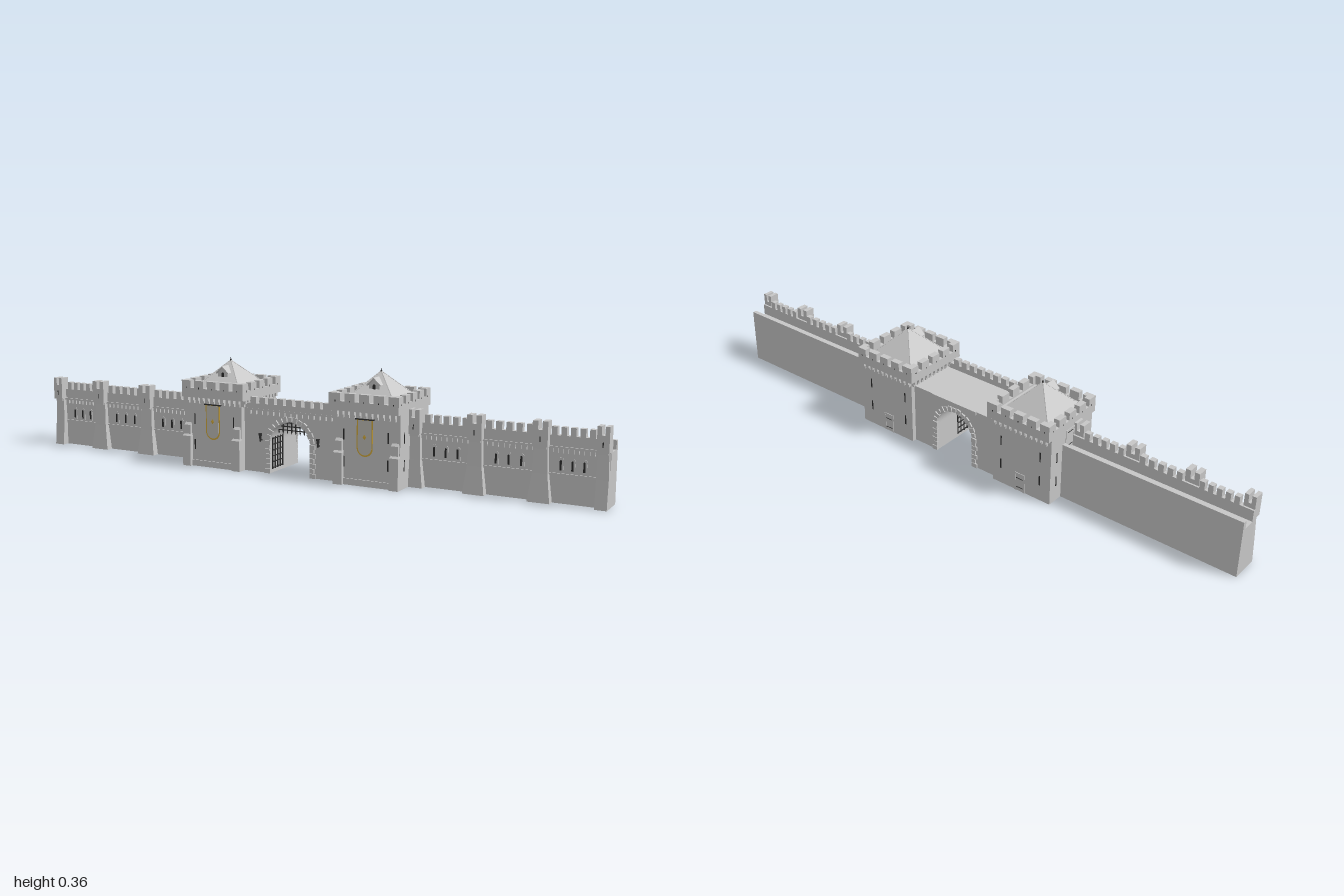
import * as THREE from 'three';
import { mergeGeometries } from 'three/addons/utils/BufferGeometryUtils.js';

const material = (name, color) =>
  Object.assign(new THREE.MeshStandardMaterial({ color, flatShading: true }), { name });

const stone = material('stone', 0xc6c6c6);
const roofStone = material('roof slate', 0xcacaca);
const black = material('dark opening', 0x2c2c2c);
const iron = material('iron', 0x343434);
const cloth = material('banner cloth', 0xbfbdb6);
const gold = material('gold trim', 0xd2aa3c);

// Merge pieces of one colour into a named part
function part(parent, name, mat, pieces) {
  const flat = pieces.map((g) => (g.index ? g.toNonIndexed() : g));
  const geometry = mergeGeometries(flat);
  geometry.computeVertexNormals();
  const mesh = new THREE.Mesh(geometry, mat);
  mesh.name = name;
  parent.add(mesh);
}

// Box given by its centre in x and z and its bottom in y
const box = (w, h, d, x, y, z) => new THREE.BoxGeometry(w, h, d).translate(x, y + h / 2, z);

// Box whose front slopes back and whose sides draw in towards the top
function taper(w0, w1, d0, d1, h, x, y, zBack) {
  const g = new THREE.BoxGeometry(1, h, 1).translate(0, h / 2, 0.5);
  const p = g.attributes.position;
  for (let i = 0; i < p.count; i++) {
    const top = p.getY(i) > h / 2;
    p.setXYZ(i, p.getX(i) * (top ? w1 : w0), p.getY(i), p.getZ(i) * (top ? d1 : d0));
  }
  return g.translate(x, y, zBack);
}

// Thin round-headed plate facing +z, standing at the origin
function archPlate(w, h, depth = 0.004) {
  const s = new THREE.Shape();
  s.moveTo(-w / 2, 0).lineTo(w / 2, 0).lineTo(w / 2, h - w / 2);
  s.absarc(0, h - w / 2, w / 2, 0, Math.PI, false);
  return new THREE.ExtrudeGeometry(s, { depth, bevelEnabled: false, curveSegments: 6 });
}

const extrude = (points, depth) =>
  new THREE.ExtrudeGeometry(new THREE.Shape(points.map(([x, y]) => new THREE.Vector2(x, y))), { depth, bevelEnabled: false });

function buildTower(side) {
  const tower = new THREE.Group();
  tower.name = side > 0 ? 'leftTower' : 'rightTower';
  tower.position.x = side * 0.275;
  // The outer face stands flush with its parapet
  part(tower, 'towerBody', stone, [box(0.22, 0.255, 0.21, side * 0.005, 0, 0)]);

  // Parapet with five merlons on each side, corbelled except on the outer face
  const outerTurn = side > 0 ? 1 : 3;
  const parapet = [], holes = [], corbels = [];
  for (let k = 0; k < 4; k++) {
    const turn = (g) => g.rotateY((k * Math.PI) / 2);
    const z = k === outerTurn ? 0.105 : 0.11;
    parapet.push(turn(box(k % 2 ? 0.24 : 0.228, 0.03, 0.02, 0, 0.231, z)));
    for (let i = -2; i <= 2; i++) {
      parapet.push(turn(box(0.034, 0.026, 0.02, i * (k % 2 ? 0.0515 : 0.049), 0.26, z)));
      holes.push(turn(box(0.002, 0.005, 0.002, i * 0.049, 0.259, z + 0.0097)));
    }
    if (k === outerTurn) continue;
    for (let i = -5; i <= 5; i++) {
      corbels.push(turn(box(0.01, 0.021, 0.012, i * 0.0195, 0.21, 0.107)));
      corbels.push(turn(box(0.01, 0.012, 0.016, i * 0.0195, 0.22, 0.111)));
    }
  }
  part(tower, 'parapet', stone, parapet);
  part(tower, 'parapetHoles', black, holes);
  part(tower, 'corbels', stone, corbels);

  // Stepped corner buttresses on the front
  part(tower, 'cornerButtresses', stone, [-0.09, 0.1].map((x) => x * side).flatMap((x) => [
    box(0.03, 0.1, 0.03, x, 0, 0.105),
    taper(0.03, 0.026, 0.03, 0.02, 0.008, x, 0.1, 0.09),
    box(0.024, 0.03, 0.02, x, 0.106, 0.103),
    taper(0.024, 0.022, 0.023, 0.015, 0.008, x, 0.136, 0.09),
  ]).concat(box(0.2, 0.02, 0.008, 0, 0, 0.105)));

  // Arrow slits on the front, back and outer faces
  const slits = [];
  for (const k of [0, outerTurn, 2]) for (const u of [-0.075, 0.075]) for (const y of [0.055, 0.14])
    slits.push(box(0.0045, 0.034, 0.003, u, y, k === outerTurn ? 0.1145 : 0.1045).rotateY(k * Math.PI / 2));
  part(tower, 'arrowSlits', black, slits);

  // Doors: ground door at the back, wall-walk door on the outer face
  const door = (w, h, y, u, z) => [
    box(0.005, h, 0.004, u - w / 2, y, z), box(0.005, h, 0.004, u + w / 2, y, z),
    box(w + 0.005, 0.005, 0.004, u, y + h, z), box(w, h, 0.002, u, y, z)];
  const outer = (g) => g.rotateY(side * Math.PI / 2);
  const back = (g) => g.rotateY(Math.PI);
  part(tower, 'doors', stone, [...door(0.034, 0.06, 0, 0, 0.105).map(back), ...door(0.04, 0.064, 0.163, side * 0.01, 0.115).map(outer)]);
  part(tower, 'doorStraps', iron, [0.012, 0.045].map((y) => back(box(0.026, 0.002, 0.003, 0, y, 0.1055)))
    .concat([0.175, 0.221].map((y) => outer(box(0.026, 0.002, 0.003, side * 0.01, y, 0.1155)))));

  // Banner hanging clear of the wall, with a narrow gold border
  part(tower, 'bannerBorder', gold, [archPlate(0.054, 0.116, 0.001).rotateY(Math.PI).rotateZ(Math.PI).translate(0, 0.21, 0.113)]);
  part(tower, 'bannerCloth', cloth, [archPlate(0.046, 0.108, 0.001).rotateY(Math.PI).rotateZ(Math.PI).translate(0, 0.207, 0.1137)]);
  part(tower, 'bannerEmblem', gold, [new THREE.OctahedronGeometry(0.006).scale(1, 1.4, 0.15).translate(0, 0.155, 0.1148)]);
  part(tower, 'bannerRod', iron, [box(0.064, 0.004, 0.003, 0, 0.208, 0.114),
    box(0.003, 0.003, 0.012, -0.029, 0.208, 0.108), box(0.003, 0.003, 0.012, 0.029, 0.208, 0.108)]);

  // Pyramid roof with hip ridges and finial
  const half = 0.09, rise = 0.09, base = 0.255;
  const hip = new THREE.LineCurve3(new THREE.Vector3(half, base, half), new THREE.Vector3(0, base + rise, 0));
  part(tower, 'roof', roofStone, [new THREE.ConeGeometry(half * Math.SQRT2, rise, 4).rotateY(Math.PI / 4).translate(0, base + rise / 2, 0),
    ...[0, 1, 2, 3].map((k) => new THREE.TubeGeometry(hip, 1, 0.0018, 4).rotateY((k * Math.PI) / 2))]);
  part(tower, 'finial', iron, [new THREE.ConeGeometry(0.003, 0.016, 6).translate(0, 0.348, 0), new THREE.SphereGeometry(0.0035, 6, 4).translate(0, 0.345, 0)]);

  // Gabled dormer on the front slope
  part(tower, 'dormer', stone, [extrude([[-0.018, 0.285], [0.018, 0.285], [0.018, 0.308], [0, 0.325], [-0.018, 0.308]], 0.035).translate(0, 0, 0.015)]);
  part(tower, 'dormerRoof', roofStone, [extrude([[-0.024, 0.304], [0, 0.3265], [0.024, 0.304], [0.024, 0.308], [0, 0.33], [-0.024, 0.308]], 0.04).translate(0, 0, 0.015)]);
  part(tower, 'dormerWindow', black, [archPlate(0.01, 0.016, 0.003).translate(0, 0.293, 0.0478)]);
  return tower;
}

function buildWall(side) {
  const wall = new THREE.Group();
  wall.name = side > 0 ? 'leftWall' : 'rightWall';
  const mid = side * 0.69, len = 0.62;
  // Core, back parapet, front parapet and string courses
  part(wall, 'wallBody', stone, [box(len, 0.163, 0.068, mid, 0, -0.014)]);
  part(wall, 'backParapet', stone, [box(len, 0.027, 0.014, mid, 0.163, -0.041)]);
  part(wall, 'frontParapet', stone, [box(len, 0.037, 0.018, mid, 0.163, 0.014)]);
  part(wall, 'stringCourses', stone, [box(len, 0.006, 0.012, mid, 0.162, 0.021), box(len, 0.004, 0.006, mid, 0.085, 0.021)]);

  // Buttresses flaring at the foot, each crowned by a small turret
  const posts = [[0.405, 0.04], [0.6, 0.046], [0.8, 0.046], [0.982, 0.036]];
  const buttress = [], merlons = [], corbels = [], slits = [], hoods = [];
  for (const [x, w] of posts) {
    const c = side * x, flare = x > 0.9 ? w : w + 0.022;
    buttress.push(taper(flare, w, 0.03, 0.022, 0.085, c, 0, 0.015), taper(w, w * 0.85, 0.022, 0.018, 0.085, c, 0.085, 0.015));
    buttress.push(box(w, 0.05, 0.034, c, 0.165, 0.028), box(w * 0.8, 0.007, 0.026, c, 0.158, 0.027));
    for (const e of [-1, 1]) buttress.push(box(w * 0.36, 0.027, 0.034, c + e * w * 0.32, 0.214, 0.028));
    slits.push(box(0.003, 0.016, 0.002, c, 0.18, 0.0445));
  }
  // Merlons, corbels and narrow loopholes in every bay
  for (let b = 0; b < 3; b++) {
    const a = posts[b][0] + 0.022, e = posts[b + 1][0] - 0.022, step = (e - a) / 5;
    for (let i = 0; i < 5; i++) merlons.push(box(step * 0.6, 0.026, 0.018, side * (a + step * (i + 0.5)), 0.199, 0.014));
    for (let i = 0; i < 9; i++) corbels.push(box(0.007, 0.014, 0.008, side * (a + ((e - a) * (i + 0.5)) / 9), 0.149, 0.022));
    for (let i = 1; i <= 3; i++) {
      const x = side * (a + ((e - a) * i) / 4);
      slits.push(archPlate(0.006, 0.03).translate(x, 0.098, 0.0185));
      hoods.push(archPlate(0.018, 0.042, 0.003).translate(x, 0.093, 0.0185));
    }
  }
  part(wall, 'buttresses', stone, buttress);
  part(wall, 'merlons', stone, merlons);
  part(wall, 'wallCorbels', stone, corbels);
  part(wall, 'loopholeSurrounds', stone, hoods);
  part(wall, 'loopholes', black, slits);
  return wall;
}

function buildGate() {
  const gate = new THREE.Group();
  gate.name = 'gatehouse';
  const r = 0.074, spring = 0.1;
  // Block pierced by the arched passage
  const s = new THREE.Shape();
  s.moveTo(-0.175, 0).lineTo(-r, 0).lineTo(-r, spring);
  s.absarc(0, spring, r, Math.PI, 0, true);
  s.lineTo(r, 0).lineTo(0.175, 0).lineTo(0.175, 0.207).lineTo(-0.175, 0.207);
  part(gate, 'gateBody', stone, [new THREE.ExtrudeGeometry(s, { depth: 0.175, bevelEnabled: false, curveSegments: 20 }).translate(0, 0, -0.09)]);

  // Arch stones around both mouths
  const blocks = [];
  for (const z of [0.087, -0.091]) {
    for (let i = 0; i <= 14; i++) {
      const a = (i * Math.PI) / 14;
      blocks.push(new THREE.BoxGeometry(i % 2 ? 0.014 : 0.019, 0.0145, 0.008).translate(r + 0.007, 0, 0).rotateZ(a).translate(0, spring, z));
    }
    for (let i = 0; i < 6; i++) for (const e of [-1, 1])
      blocks.push(box(i % 2 ? 0.014 : 0.02, 0.0145, 0.008, e * (r + (i % 2 ? 0.006 : 0.009)), i * 0.0162, z));
  }
  part(gate, 'archStones', stone, blocks);

  // Front battlement on corbels and a low lip at the back
  const battlement = [box(0.33, 0.018, 0.018, 0, 0.207, 0.084), box(0.33, 0.006, 0.01, 0, 0.202, 0.089), box(0.18, 0.012, 0.008, 0, 0.198, -0.092)];
  for (let i = -4; i <= 4; i++) battlement.push(box(0.021, 0.021, 0.018, i * 0.033, 0.224, 0.084));
  for (let i = -7; i <= 7; i++) battlement.push(box(0.008, 0.014, 0.009, i * 0.021, 0.189, 0.088));
  part(gate, 'gateBattlement', stone, battlement);

  // Raised portcullis
  const bars = [];
  for (let i = -4; i <= 4; i++) {
    const x = i * 0.0155, top = spring + Math.sqrt(r * r - x * x);
    bars.push(box(0.003, top - 0.132, 0.003, x, 0.132, 0.05));
    bars.push(new THREE.ConeGeometry(0.003, 0.008, 4).rotateX(Math.PI).translate(x, 0.129, 0.05));
  }
  for (const y of [0.137, 0.149, 0.161]) bars.push(box(2 * Math.sqrt(r * r - (y - spring) ** 2), 0.003, 0.003, 0, y, 0.05));
  part(gate, 'portcullis', iron, bars);

  // Iron lattice leaves folded back against the passage sides
  const lattice = [];
  for (const e of [-1, 1]) {
    for (let i = 0; i < 5; i++) lattice.push(box(0.003, 0.105, 0.003, e * 0.072, 0.012, 0.01 + i * 0.016));
    for (let j = 0; j < 6; j++) lattice.push(box(0.003, 0.003, 0.067, e * 0.072, 0.015 + j * 0.019, 0.042));
  }
  part(gate, 'latticeLeaves', iron, lattice);

  // Wall torches either side of the arch
  part(gate, 'torches', iron, [-1, 1].flatMap((e) => [
    box(0.004, 0.004, 0.014, e * 0.105, 0.105, 0.09),
    new THREE.CylinderGeometry(0.006, 0.002, 0.028, 6).translate(e * 0.105, 0.116, 0.096)]));
  return gate;
}

export function createModel() {
  const model = new THREE.Group();
  model.name = 'castleGateAndWalls';
  model.add(buildGate());
  for (const side of [-1, 1]) model.add(buildTower(side), buildWall(side));
  return model;
}
